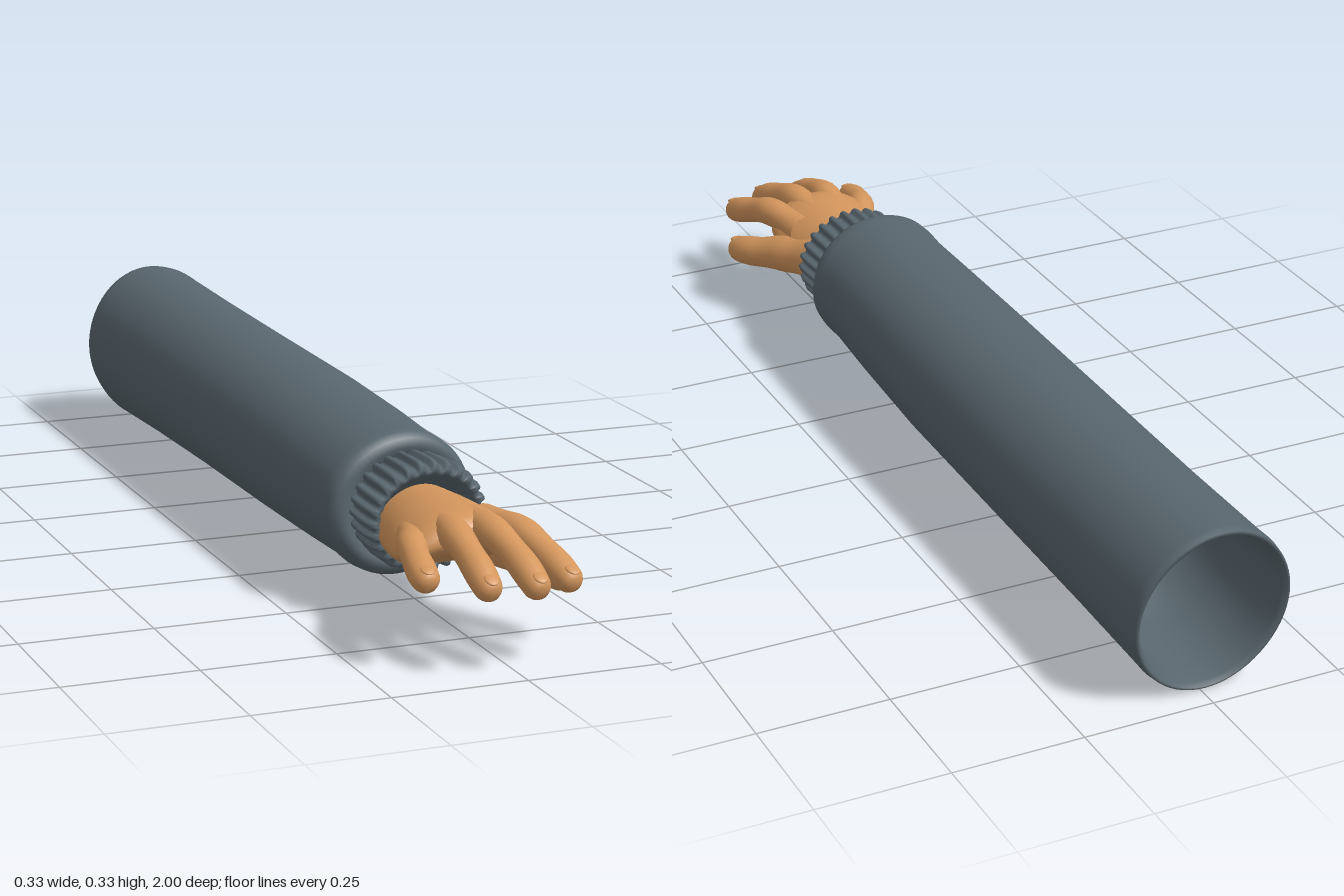
import * as THREE from 'three';
import { mergeVertices } from 'three/addons/utils/BufferGeometryUtils.js';

const sleeveGrey = new THREE.MeshStandardMaterial({ color: 0x59666e });
sleeveGrey.name = 'sleeveGrey';
const skin = new THREE.MeshStandardMaterial({ color: 0xd4965d });
skin.name = 'skin';

// Drop seams so that normals are smooth all the way round
function smooth(geo) {
  geo.deleteAttribute('uv');
  geo.deleteAttribute('normal');
  const g = mergeVertices(geo, 1e-5);
  g.computeVertexNormals();
  return g;
}

// Skin oval rings [z, cx, cy, rx, ry, tiltX, tiltY]; warp(p, angle, ringIndex) bends each point
function loft(rings, seg, warp) {
  const pos = [], idx = [];
  const p = new THREE.Vector3();
  rings.forEach(([z, cx, cy, rx, ry, tx = 0, ty = 0], i) => {
    for (let j = 0; j < seg; j++) {
      const a = (j / seg) * Math.PI * 2;
      const dx = rx * Math.cos(a), dy = ry * Math.sin(a);
      p.set(cx + dx, cy + dy, z + tx * dx + ty * dy);
      if (warp) warp(p, a, i);
      pos.push(p.x, p.y, p.z);
      if (i < rings.length - 1) {
        const k = (j + 1) % seg, A = i * seg + j, B = i * seg + k;
        idx.push(A, B, B + seg, A, B + seg, A + seg);
      }
    }
  });
  const g = new THREE.BufferGeometry();
  g.setAttribute('position', new THREE.Float32BufferAttribute(pos, 3));
  g.setIndex(idx);
  return smooth(g);
}

// Tapered tube with a rounded tip and slightly swollen joints
function digit(points, r0, r1) {
  const path = new THREE.CatmullRomCurve3(points.map(p => new THREE.Vector3(...p)));
  const n = 56, m = 18, len = path.getLength();
  const g = new THREE.TubeGeometry(path, n, 1, m);
  const pos = g.attributes.position, v = new THREE.Vector3();
  for (let i = 0; i <= n; i++) {
    const t = i / n, c = path.getPointAt(t), left = (1 - t) * len;
    let r = r0 + (r1 - r0) * t + 0.0012 * Math.cos(t * Math.PI * 5);
    if (left < r1) r *= Math.sqrt(Math.max(0, 1 - (1 - left / r1) ** 2));
    for (let j = 0; j <= m; j++) {
      const k = i * (m + 1) + j;
      v.fromBufferAttribute(pos, k).sub(c).multiplyScalar(r).add(c);
      pos.setXYZ(k, v.x, v.y, v.z);
    }
  }
  return { geo: smooth(g), path, len };
}

export function createModel() {
  const group = new THREE.Group();
  const add = (name, geo, mat, parent = group) => {
    const mesh = new THREE.Mesh(geo, mat);
    mesh.name = name;
    parent.add(mesh);
    return mesh;
  };

  // Sleeve: inner lining, rolled rim, outer cloth, then tucked in at the cuff
  const sleeveRings = [
    [-0.62, -0.01, 0.168, 0, 0],
    [-0.63, -0.01, 0.168, 0.07, 0.075],
    [-0.67, -0.01, 0.168, 0.115, 0.12],
    [-0.78, -0.01, 0.168, 0.128, 0.136, 0, -0.06],
    [-0.92, -0.009, 0.167, 0.134, 0.148, 0, -0.12],
    [-0.965, -0.008, 0.167, 0.138, 0.153, 0, -0.12],
    [-0.977, -0.008, 0.167, 0.144, 0.159, 0, -0.12],
    [-0.974, -0.008, 0.167, 0.150, 0.165, 0, -0.12],
    [-0.955, -0.008, 0.167, 0.153, 0.167, 0, -0.12],
    [-0.92, -0.008, 0.167, 0.152, 0.165, 0, -0.1],
    [-0.7, -0.008, 0.168, 0.150, 0.160],
    [-0.4, -0.009, 0.170, 0.150, 0.155],
    [0, -0.011, 0.172, 0.150, 0.149],
    [0.25, -0.016, 0.174, 0.147, 0.141],
    [0.4, -0.02, 0.175, 0.145, 0.135, -0.05],
    [0.45, -0.021, 0.175, 0.148, 0.135, -0.1],
    [0.475, -0.021, 0.176, 0.146, 0.133, -0.1],
    [0.492, -0.02, 0.177, 0.136, 0.123, -0.1],
    [0.496, -0.018, 0.177, 0.12, 0.107, -0.1],
    [0.485, -0.016, 0.177, 0.1, 0.09, -0.1],
  ];
  const folds = (p, a) => {
    const w = 0.0012 * Math.sin(3 * a + p.z * 9) * Math.sin(p.z * 14 + a);
    p.x += w * Math.cos(a);
    p.y += w * Math.sin(a);
  };
  add('sleeve', loft(sleeveRings, 64, folds), sleeveGrey);

  // Ribbed cuff: ribs fade out where the knit turns inward to the wrist
  const ribDepth = [0.004, 0.0055, 0.0055, 0.0055, 0.005, 0.003, 0.001, 0];
  const cuffRings = [
    [0.47, -0.014, 0.178, 0.106, 0.092, -0.1],
    [0.5, -0.014, 0.178, 0.112, 0.097, -0.1],
    [0.54, -0.014, 0.178, 0.115, 0.099, -0.1],
    [0.575, -0.013, 0.178, 0.116, 0.099, -0.1],
    [0.592, -0.013, 0.178, 0.113, 0.096, -0.1],
    [0.598, -0.013, 0.178, 0.106, 0.089, -0.1],
    [0.594, -0.013, 0.177, 0.098, 0.080, -0.1],
    [0.56, -0.015, 0.174, 0.082, 0.055, -0.1],
  ];
  const ribs = (p, a, i) => {
    const w = ribDepth[i] * Math.tanh(2 * Math.cos(26 * a));
    p.x += w * Math.cos(a);
    p.y += w * Math.sin(a);
  };
  add('ribbedCuff', loft(cuffRings, 260, ribs), sleeveGrey);

  // Hand: wrist and palm arch down toward both sides
  const hand = new THREE.Group();
  hand.name = 'hand';
  group.add(hand);
  const palmRings = [
    [0.52, -0.015, 0.172, 0.085, 0.058],
    [0.58, -0.018, 0.174, 0.09, 0.062],
    [0.63, -0.02, 0.178, 0.098, 0.062],
    [0.68, -0.02, 0.183, 0.108, 0.058],
    [0.73, -0.022, 0.19, 0.113, 0.052],
    [0.77, -0.025, 0.199, 0.112, 0.042],
    [0.795, -0.025, 0.203, 0.103, 0.032],
    [0.81, -0.025, 0.204, 0.085, 0.019],
    [0.814, -0.025, 0.204, 0, 0],
  ];
  add('palm', loft(palmRings, 48, p => { p.y -= 2 * (p.x + 0.02) ** 2; }), skin, hand);

  // Fingers and thumb, each with a thin nail: [name, path, base radius, tip radius]
  const digits = [
    ['littleFinger', [[-0.085, 0.182, 0.69], [-0.126, 0.188, 0.79], [-0.141, 0.175, 0.855], [-0.146, 0.155, 0.915]], 0.029, 0.025],
    ['ringFinger', [[-0.045, 0.203, 0.70], [-0.058, 0.21, 0.82], [-0.061, 0.185, 0.91], [-0.06, 0.148, 0.985]], 0.031, 0.025],
    ['middleFinger', [[0, 0.207, 0.70], [0.008, 0.212, 0.83], [0.018, 0.185, 0.92], [0.024, 0.147, 1.0]], 0.031, 0.025],
    ['indexFinger', [[0.045, 0.195, 0.70], [0.07, 0.2, 0.81], [0.087, 0.176, 0.89], [0.1, 0.145, 0.97]], 0.031, 0.025],
    ['thumb', [[0.04, 0.165, 0.62], [0.082, 0.148, 0.71], [0.122, 0.131, 0.78], [0.146, 0.115, 0.852]], 0.046, 0.025],
  ];
  for (const [name, points, r0, r1] of digits) {
    const { geo, path, len } = digit(points, r0, r1);
    add(name, geo, skin, hand);
    const t = 1 - 0.021 / len;
    const dir = path.getTangentAt(t);
    const side = new THREE.Vector3(0, 1, 0).cross(dir).normalize();
    const up = dir.clone().cross(side);
    const nail = add(name + 'Nail', new THREE.SphereGeometry(1, 16, 10), skin, hand);
    nail.quaternion.setFromRotationMatrix(new THREE.Matrix4().makeBasis(side, up, dir));
    nail.scale.set(0.013, 0.004, 0.015);
    nail.position.copy(path.getPointAt(t)).addScaledVector(up, r1 - 0.0025);
  }
  return group;
}
